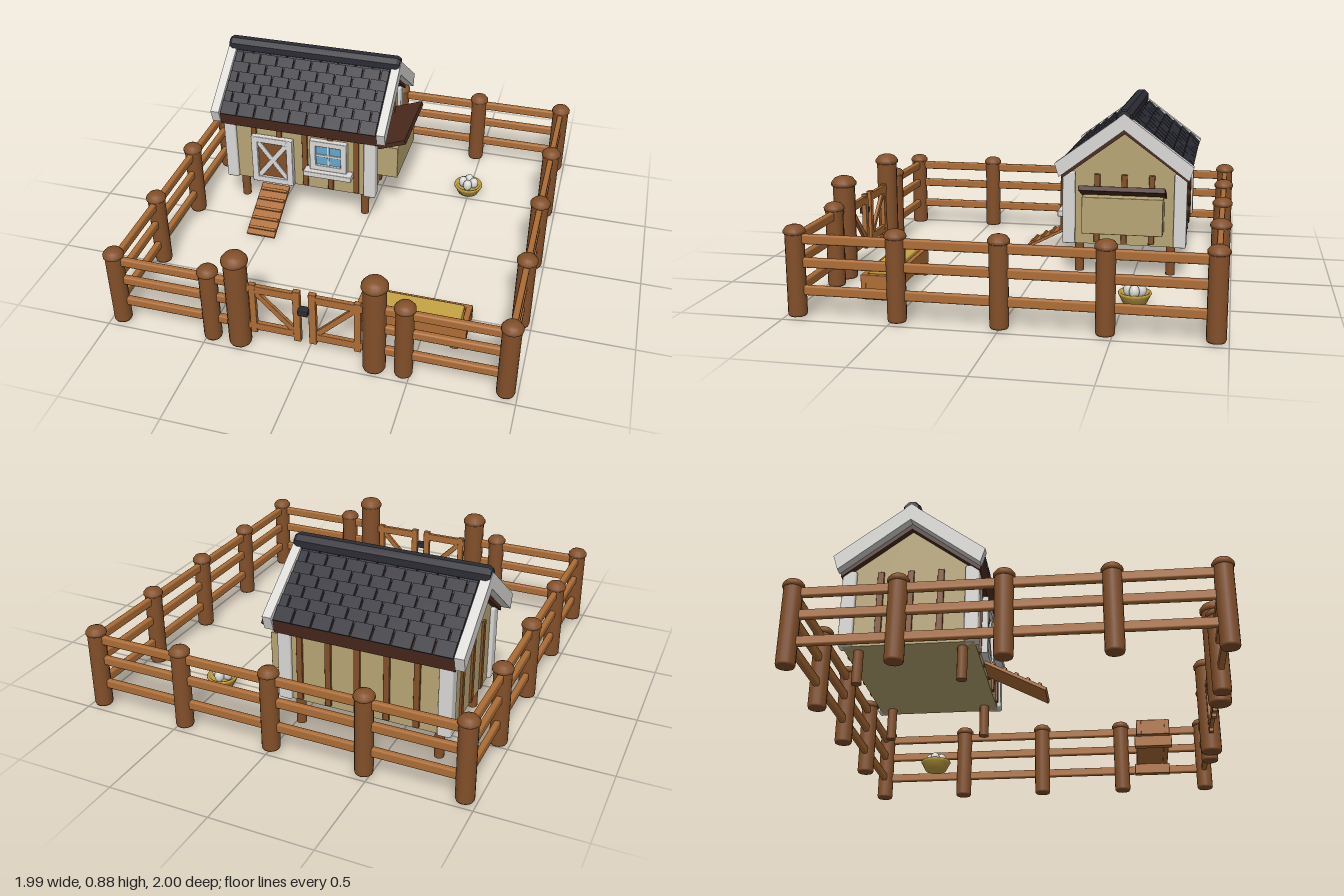
import * as THREE from 'three';
import { mergeGeometries } from 'three/addons/utils/BufferGeometryUtils.js';
import { RoundedBoxGeometry } from 'three/addons/geometries/RoundedBoxGeometry.js';

const mat = (name, color) => Object.assign(new THREE.MeshStandardMaterial({ color }), { name });
const M = {
  post: mat('post brown', 0x83502a),
  rail: mat('rail brown', 0xad6d36),
  dark: mat('dark brown', 0x4b2a1d),
  roof: mat('slate', 0x2c2c35),
  wall: mat('tan wall', 0xb8a574),
  trim: mat('white trim', 0xdad9d6),
  straw: mat('straw', 0xc6a444),
  glass: mat('window blue', 0x64a8cc),
};

function add(parent, name, geo, material, x = 0, y = 0, z = 0) {
  const m = new THREE.Mesh(geo, material);
  m.name = name;
  m.position.set(x, y, z);
  parent.add(m);
  return m;
}
function box(parent, name, material, w, h, d, x, y, z, soft = 0.12) {
  const r = Math.min(w, h, d) * soft;
  return add(parent, name, new RoundedBoxGeometry(w, h, d, 1, r), material, x, y, z);
}
function group(parent, name, x = 0, y = 0, z = 0) {
  const g = new THREE.Group();
  g.name = name;
  g.position.set(x, y, z);
  parent.add(g);
  return g;
}
// Extrudes a (z, y) profile along x, centred on x = 0
function alongX(points, length) {
  const s = new THREE.Shape(points.map(([z, y]) => new THREE.Vector2(-z, y)));
  return new THREE.ExtrudeGeometry(s, { depth: length, bevelEnabled: false })
    .translate(0, 0, -length / 2).rotateY(Math.PI / 2);
}
// Inverted V band: top and bottom heights at the ridge and at the eave
const chevron = (top, eaveZ, eaveTop, lowZ, eaveLow, low) =>
  [[0, top], [eaveZ, eaveTop], [lowZ, eaveLow], [0, low], [-lowZ, eaveLow], [-eaveZ, eaveTop]];

// Round post with an overhanging domed cap
function post(parent, name, x, z, r, h) {
  const profile = [[0, 0.01], [r * 0.92, 0.01], [r, 0.02], [r, h - r]];
  const cap = [[r, h - r], [r * 1.14, h - r * 0.9], [r * 1.14, h - r * 0.6], [r * 0.85, h - r * 0.22], [r * 0.45, h - 0.003], [0, h]];
  const g = group(parent, name, x, 0, z);
  for (const [part, p] of [['postShaft', profile], ['postCap', cap]])
    add(g, part, new THREE.LatheGeometry(p.map(([a, b]) => new THREE.Vector2(a, b)), 16), M.post);
}

function buildFence(root) {
  const fence = group(root, 'fence');
  const E = 0.945, spots = [-E, -0.47, 0, 0.47, E];
  for (const a of spots) {
    post(fence, 'backPost', a, -E, 0.044, 0.437);
    if (a !== 0) post(fence, 'frontPost', a, E, 0.044, 0.437);
    if (Math.abs(a) < E) for (const s of [-1, 1]) post(fence, 'sidePost', s * E, a, 0.044, 0.437);
  }
  for (const y of [0.13, 0.26, 0.37]) {
    box(fence, 'backRail', M.rail, 2 * E, 0.046, 0.03, 0, y, -E, 0.3);
    for (const s of [-1, 1]) {
      box(fence, 'sideRail', M.rail, 0.03, 0.046, 2 * E, s * E, y, 0, 0.3);
      box(fence, 'frontRail', M.rail, E - 0.33, 0.046, 0.03, s * (E + 0.33) / 2, y, E, 0.3);
    }
  }
  // Double gate
  for (const s of [-1, 1]) {
    post(fence, 'gatePost', s * 0.33, E, 0.055, 0.543);
    const leaf = group(fence, 'gateLeaf', 0, 0, E);
    for (const y of [0.13, 0.355]) box(leaf, 'gateRail', M.rail, 0.27, 0.042, 0.022, s * 0.165, y, 0);
    box(leaf, 'gateInnerStile', M.rail, 0.036, 0.3, 0.026, s * 0.038, 0.238, 0);
    box(leaf, 'gateOuterStile', M.rail, 0.032, 0.29, 0.024, s * 0.252, 0.238, 0);
    box(leaf, 'gateBrace', M.rail, 0.28, 0.028, 0.018, s * 0.147, 0.243, 0).rotation.z = s * 0.8;
  }
  box(fence, 'gateLatch', M.roof, 0.05, 0.032, 0.04, 0, 0.288, E + 0.018);
}

function buildRoof(coop) {
  const roof = group(coop, 'roof');
  add(roof, 'roofDeck', alongX(chevron(0.835, 0.335, 0.586, 0.322, 0.515, 0.752), 0.88), M.dark);
  for (const s of [-1, 1])
    add(roof, 'bargeBoard', alongX(chevron(0.86, 0.352, 0.6, 0.33, 0.53, 0.778), 0.046), M.trim, s * 0.462);
  // Staggered shingles, each course lapping over the one below
  const rows = 7, cols = 9, half = 0.437, pitch = 0.06, step = 2 * half / cols;
  const angle = Math.atan2(0.26, 0.352);
  for (const side of [1, -1]) {
    const tiles = [];
    for (let r = 0; r < rows; r++) {
      const odd = r % 2;
      for (let c = 0; c < cols + odd; c++) {
        const x0 = Math.max(-half, -half + (c - odd / 2) * step);
        const x1 = Math.min(half, -half + (c + 1 - odd / 2) * step);
        tiles.push(new THREE.BoxGeometry(x1 - x0 - 0.009, 0.016, 0.074).rotateX(0.14)
          .translate((x0 + x1) / 2, -0.008, 0.035 + r * pitch));
      }
    }
    tiles.push(new THREE.BoxGeometry(2 * half, 0.008, 0.42).translate(0, -0.02, 0.21));
    const geo = mergeGeometries(tiles).rotateX(angle);
    if (side < 0) geo.rotateY(Math.PI);
    add(roof, 'shingles', geo, M.roof, 0, 0.853, 0);
  }
  // Ridge cap with tapered ends
  const ridge = [[0, -0.482], [0.034, -0.482], [0.044, -0.465], [0.044, 0.465], [0.034, 0.482], [0, 0.482]];
  const cap = new THREE.LatheGeometry(ridge.map(([a, b]) => new THREE.Vector2(a, b)), 8)
    .rotateY(Math.PI / 8).rotateZ(Math.PI / 2).toNonIndexed();
  cap.computeVertexNormals();
  add(roof, 'ridgeCap', cap, M.roof, 0, 0.842, 0);
}

function buildDoor(coop, x, z) {
  const door = group(coop, 'door', x, 0.325, z);
  box(door, 'doorPanel', M.post, 0.18, 0.25, 0.02, 0, 0, 0.004);
  for (const s of [-1, 1]) {
    box(door, 'doorJamb', M.trim, 0.036, 0.29, 0.036, s * 0.1, 0, 0.012);
    box(door, 'doorHeader', M.trim, 0.236, 0.036, 0.034, 0, s * 0.128, 0.012);
    box(door, 'doorCross', M.trim, 0.27, 0.028, 0.012 + s * 0.001, 0, 0, 0.016).rotation.z = s * 0.93;
  }
}

function buildWindow(coop, x, z) {
  const win = group(coop, 'window', x, 0.405, z);
  box(win, 'glass', M.glass, 0.17, 0.15, 0.008, 0, 0, 0.01);
  for (const s of [-1, 1]) {
    box(win, 'windowJamb', M.trim, 0.034, 0.18, 0.034, s * 0.087, 0, 0.01);
    box(win, 'windowHeader', M.trim, 0.208, 0.032, 0.034, 0, s * 0.076, 0.01);
  }
  box(win, 'muntin', M.trim, 0.012, 0.15, 0.02, 0, 0, 0.01);
  box(win, 'muntin', M.trim, 0.16, 0.012, 0.02, 0, 0, 0.01);
  box(win, 'sill', M.trim, 0.27, 0.032, 0.06, 0, -0.108, 0.025);
}

function buildCoop(root) {
  const coop = group(root, 'coop', -0.38, 0, -0.45);
  add(coop, 'walls', alongX([[-0.3, 0.17], [-0.3, 0.56], [0, 0.785], [0.3, 0.56], [0.3, 0.17]], 0.82), M.wall);
  for (const sx of [-1, 1]) for (const sz of [-1, 1]) {
    box(coop, 'cornerTrim', M.trim, 0.066, 0.38, 0.066, sx * 0.396, 0.36, sz * 0.286);
    add(coop, 'leg', new THREE.CylinderGeometry(0.024, 0.024, 0.17, 12), M.post, sx * 0.352, 0.095, sz * 0.238);
  }
  // Wall battens
  for (const s of [-1, 1]) {
    for (let i = -2; i <= 2; i++)
      box(coop, 'batten', M.post, 0.03, 0.36, 0.02, i * 0.145 + 0.03, 0.36, s * 0.302);
    for (const z of [-0.14, 0, 0.14])
      box(coop, 'endBatten', M.post, 0.02, 0.36, 0.03, s * 0.412, 0.36, z);
  }
  buildRoof(coop);
  buildDoor(coop, -0.15, 0.31);
  buildWindow(coop, 0.17, 0.31);
  // Nest box with a raised lid
  box(coop, 'nestBox', M.wall, 0.125, 0.19, 0.41, 0.463, 0.345, 0, 0.03);
  box(coop, 'nestLid', M.dark, 0.165, 0.026, 0.434, 0.49, 0.466, 0).rotation.z = 0.36;
  // Ramp with cleats
  const ramp = group(coop, 'ramp', -0.14, 0.082, 0.46);
  ramp.rotation.x = 0.48;
  box(ramp, 'rampBoard', M.rail, 0.16, 0.016, 0.32, 0, 0, 0);
  for (let i = 0; i < 5; i++) box(ramp, 'cleat', M.rail, 0.15, 0.012, 0.016, 0, 0.012, -0.12 + i * 0.06);
}

function buildTrough(root) {
  const t = group(root, 'trough', 0.447, 0, 0.64);
  box(t, 'troughFloor', M.rail, 0.52, 0.02, 0.15, 0, 0.078, 0);
  for (const s of [-1, 1]) {
    box(t, 'troughSide', M.rail, 0.545, 0.08, 0.026, 0, 0.106, s * 0.072);
    box(t, 'troughEnd', M.rail, 0.03, 0.08, 0.15, s * 0.256, 0.106, 0);
    box(t, 'troughFoot', M.rail, 0.04, 0.058, 0.192, s * 0.22, 0.042, 0);
  }
  box(t, 'feed', M.straw, 0.47, 0.075, 0.118, 0, 0.126, 0);
}

function buildBasket(root) {
  const b = group(root, 'eggBasket', 0.495, 0, -0.555);
  const p = [[0, 0.015], [0.056, 0.015], [0.076, 0.055], [0.081, 0.062], [0.078, 0.07], [0.068, 0.068], [0.055, 0.045], [0, 0.04]];
  add(b, 'basket', new THREE.LatheGeometry(p.map(([x, y]) => new THREE.Vector2(x, y)), 20), M.straw);
  for (let i = 0; i < 4; i++) {
    const a = i * Math.PI / 2;
    add(b, 'egg', new THREE.SphereGeometry(0.025, 14, 10).scale(1, 1.3, 1), M.trim, Math.cos(a) * 0.031, 0.078, Math.sin(a) * 0.031);
  }
}

export function createModel() {
  const root = new THREE.Group();
  root.name = 'chickenCoopYard';
  buildFence(root);
  buildCoop(root);
  buildTrough(root);
  buildBasket(root);
  return root;
}
